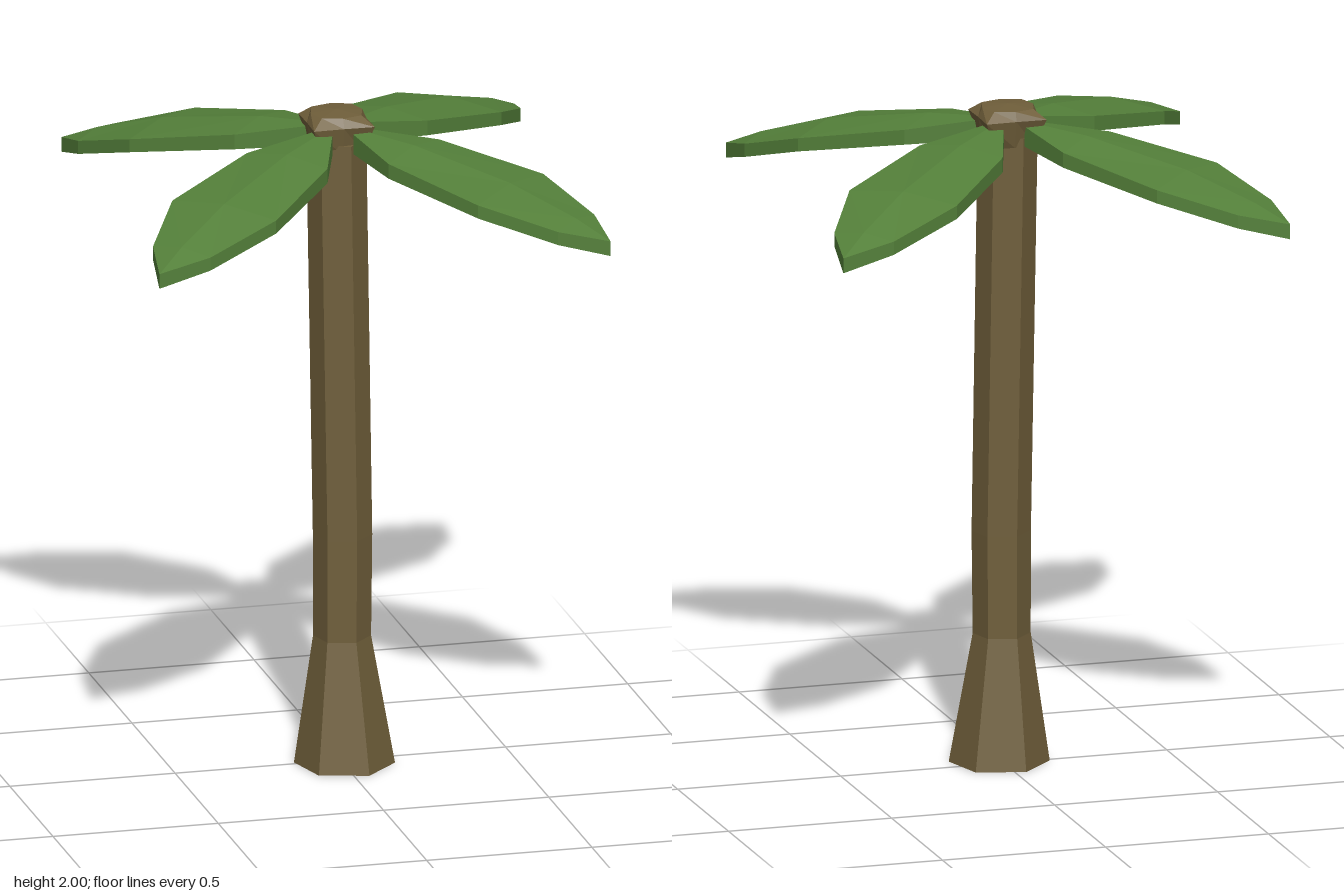
import * as THREE from 'three';

const bark = new THREE.MeshStandardMaterial({ name: 'bark brown', color: 0x6f5e3a, flatShading: true });
const green = new THREE.MeshStandardMaterial({ name: 'leaf green', color: 0x54803a, flatShading: true });

// Skin a list of equal-sized closed rings and cap both ends
function loft(rings, name, material) {
  const pos = [];
  const tri = (a, b, c) => pos.push(...a, ...b, ...c);
  const n = rings[0].length;
  for (let i = 0; i < rings.length - 1; i++) {
    for (let j = 0; j < n; j++) {
      const k = (j + 1) % n;
      const a = rings[i][j], b = rings[i][k], c = rings[i + 1][k], d = rings[i + 1][j];
      tri(a, d, c);
      tri(a, c, b);
    }
  }
  const first = rings[0], last = rings[rings.length - 1];
  for (let j = 1; j < n - 1; j++) {
    tri(first[0], first[j], first[j + 1]);
    tri(last[0], last[j + 1], last[j]);
  }
  const geometry = new THREE.BufferGeometry();
  geometry.setAttribute('position', new THREE.Float32BufferAttribute(pos, 3));
  geometry.computeVertexNormals();
  const mesh = new THREE.Mesh(geometry, material);
  mesh.name = name;
  return mesh;
}

// Horizontal ring; radius may depend on the corner index
function ring(cx, y, cz, sides, radius, startDeg) {
  return Array.from({ length: sides }, (_, j) => {
    const a = THREE.MathUtils.degToRad(startDeg) + (j / sides) * Math.PI * 2;
    const r = typeof radius === 'function' ? radius(j) : radius;
    return [cx + r * Math.cos(a), y, cz + r * Math.sin(a)];
  });
}

// Thick, gently folded leaf pointing along local +x
function makeLeaf(length) {
  // distance along leaf, half width, edge height, ridge height, thickness
  const stations = [
    [0.08, 0.035, 1.945, 1.95, 0.06],
    [0.27, 0.14, 1.915, 1.935, 0.045],
    [0.61, 0.18, 1.855, 1.875, 0.04],
    [0.84, 0.1, 1.79, 1.805, 0.04],
    [0.96, 0.001, 1.755, 1.755, 0.045],
  ];
  const rings = stations.map(([u, w, edge, ridge, t]) => {
    const x = (u * length) / 0.96;
    return [[x, edge, w], [x, ridge, 0], [x, edge, -w], [x, edge - t, -w], [x, ridge - t, 0], [x, edge - t, w]];
  });
  return loft(rings, 'leaf', green);
}

export function createModel() {
  const model = new THREE.Group();
  model.name = 'palmTree';

  // Six-sided trunk with a flared foot and a slight lean
  const trunk = [
    [0.006, 0, 0.025, 0.148],
    [0, 0.39, 0.02, 0.085],
    [0.002, 0.7, 0.018, 0.087],
    [-0.0125, 1.91, 0.0015, 0.088],
  ].map(([x, y, z, r]) => ring(x, y, z, 6, r, 15));
  model.add(loft(trunk, 'trunk', bark));

  // Faceted crown, square below and rounding to a low dome
  const square = (mid, corner) => (j) => (j % 2 ? corner : mid);
  const crown = [
    ring(-0.01, 1.882, -0.003, 8, square(0.075, 0.09), 0),
    ring(-0.01, 1.965, -0.005, 8, square(0.09, 0.13), 0),
    ring(-0.01, 1.993, -0.007, 8, square(0.078, 0.085), 0),
    ring(-0.01, 2, -0.007, 8, 0.001, 0),
  ];
  model.add(loft(crown, 'crown', bark));

  // Four leaves spread along the diagonals
  const leaves = new THREE.Group();
  leaves.name = 'leaves';
  [[46.8, 0.945], [137, 0.97], [226.6, 0.95], [316.7, 0.975]].forEach(([deg, length]) => {
    const leaf = makeLeaf(length);
    leaf.rotation.y = -THREE.MathUtils.degToRad(deg);
    leaf.position.x = -0.01;
    leaves.add(leaf);
  });
  model.add(leaves);
  return model;
}
